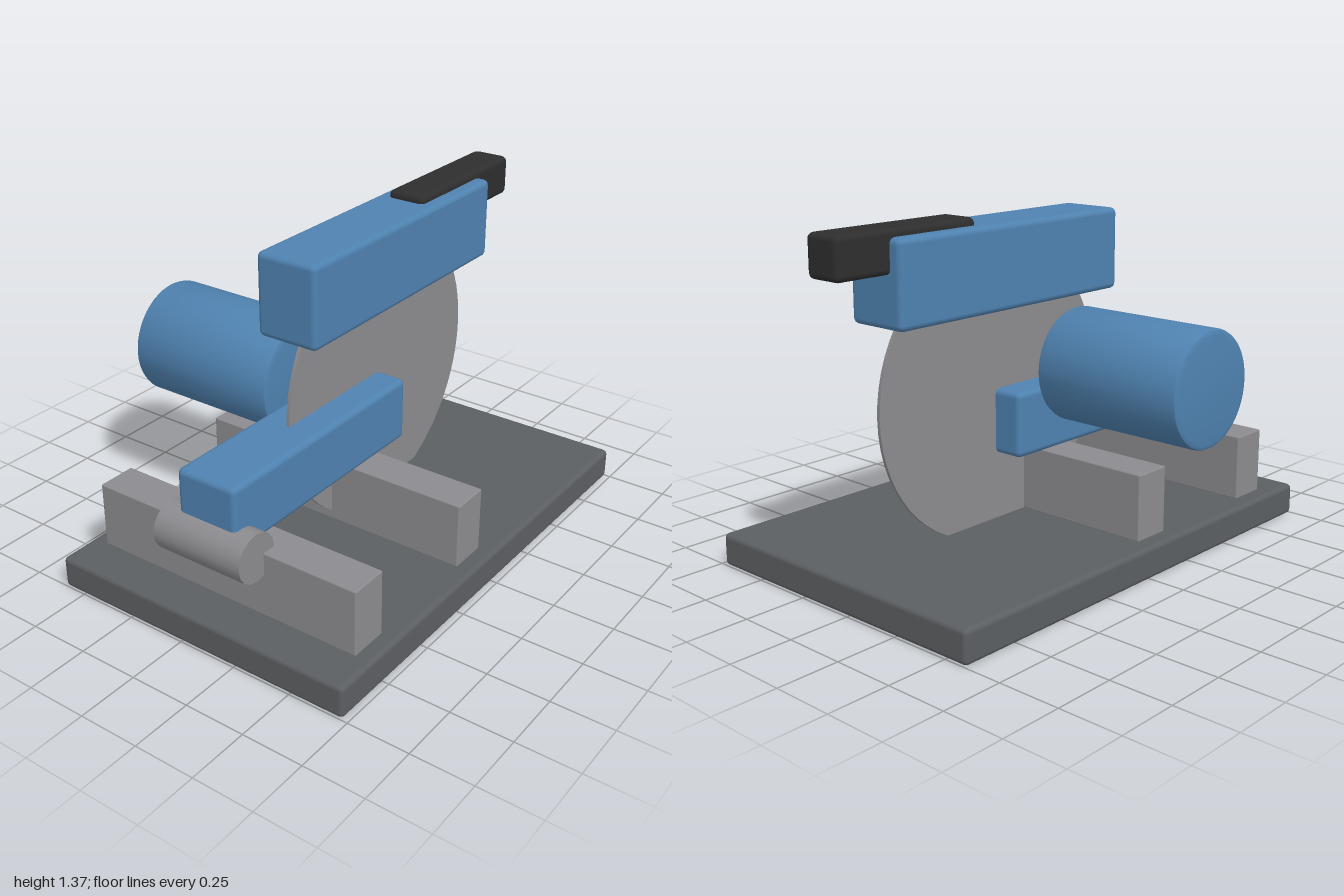
import * as THREE from 'three';
import { RoundedBoxGeometry } from 'three/addons/geometries/RoundedBoxGeometry.js';
import { toCreasedNormals } from 'three/addons/utils/BufferGeometryUtils.js';

function material(name, color) {
  const m = new THREE.MeshStandardMaterial({ color });
  m.name = name;
  return m;
}

export function createModel() {
  const model = new THREE.Group();
  model.name = 'chopSaw';

  const bluePaint = material('bluePaint', 0x4f82b0);
  const steel = material('steel', 0x8c8c90);
  const castIron = material('castIron', 0x5c5f62);
  const blackGrip = material('blackGrip', 0x2e2e2e);

  function add(name, geometry, mat, x, y, z) {
    const mesh = new THREE.Mesh(geometry, mat);
    mesh.name = name;
    mesh.position.set(x, y, z);
    model.add(mesh);
    return mesh;
  }

  // Softened box given by its extents on each axis
  function box(name, mat, [x0, x1], [y0, y1], [z0, z1], radius) {
    const geometry = new RoundedBoxGeometry(x1 - x0, y1 - y0, z1 - z0, 2, radius);
    return add(name, geometry, mat, (x0 + x1) / 2, (y0 + y1) / 2, (z0 + z1) / 2);
  }

  // Round part lying along z
  function disc(name, mat, x, y, [z0, z1], radius, sides) {
    const geometry = new THREE.CylinderGeometry(radius, radius, z1 - z0, sides).rotateX(Math.PI / 2);
    return add(name, geometry, mat, x, y, (z0 + z1) / 2);
  }

  // Base plate and the two work rails
  box('basePlate', castIron, [-1, 1], [0, 0.132], [-0.6, 0.73], 0.02);
  box('outerRail', steel, [-0.832, -0.67], [0.13, 0.4], [-0.532, 0.664], 0.006);
  box('innerRail', steel, [-0.166, -0.003], [0.13, 0.4], [-0.532, 0.664], 0.006);

  // Pivot and swing arm
  disc('pivotPin', steel, -0.87, 0.4, [-0.133, 0.266], 0.098, 16);
  box('swingArm', bluePaint, [-0.902, 0.161], [0.403, 0.667], [-0.066, 0.2], 0.024);

  // Cutting disc under its guard
  disc('cuttingDisc', steel, 0.167, 0.667, [0.06, 0.074], 0.598, 64);
  box('bladeGuard', bluePaint, [-0.432, 0.763], [1.003, 1.335], [-0.066, 0.2], 0.024);
  box('handle', blackGrip, [0.333, 1], [1.202, 1.366], [-0.015, 0.148], 0.024);

  // Motor drum with rounded rims
  const rim = 0.016;
  const outline = new THREE.Shape().absarc(0, 0, 0.231 - rim, 0, Math.PI * 2);
  const drum = new THREE.ExtrudeGeometry(outline, {
    depth: 0.662 - 2 * rim,
    curveSegments: 24,
    bevelSize: rim,
    bevelThickness: rim,
    bevelSegments: 2,
  });
  add('motor', toCreasedNormals(drum, 0.6), bluePaint, -0.17, 0.735, -0.73 + rim);

  return model;
}
